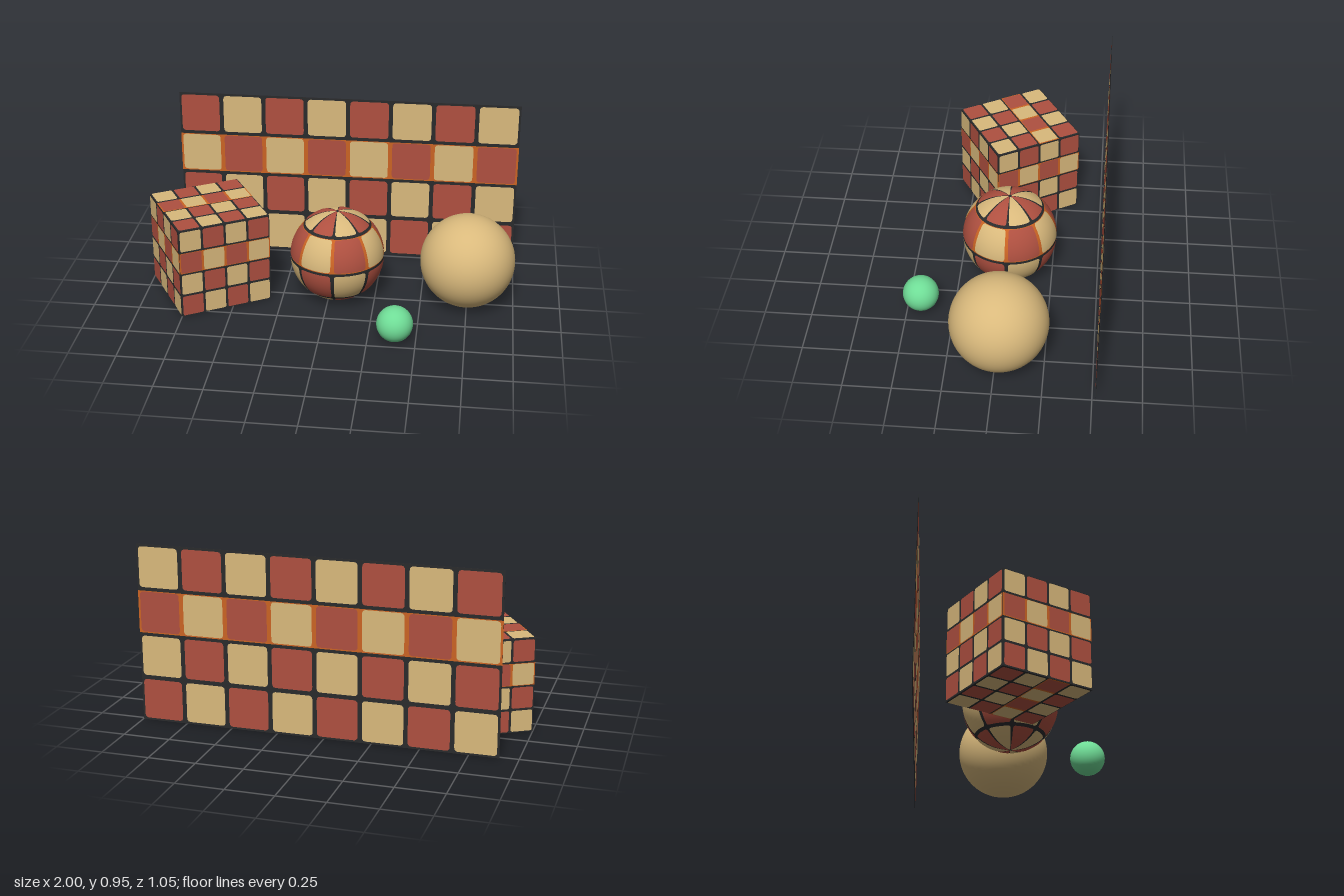
import * as THREE from 'three';
import { mergeGeometries } from 'three/addons/utils/BufferGeometryUtils.js';

export function createModel() {
  const mat = (name, color, side = THREE.FrontSide) => {
    const m = new THREE.MeshStandardMaterial({ color, side });
    m.name = name;
    return m;
  };
  const tan = mat('tan', 0xd9b97c);
  const red = mat('brick red', 0xaf5040);
  const grout = mat('dark grout', 0x2a2b2c);
  const orange = mat('orange grout', 0xcb6424);
  const green = mat('green', 0x6fdc96);

  const model = new THREE.Group();
  const add = (parent, name, geometry, material, x = 0, y = 0, z = 0) => {
    const mesh = new THREE.Mesh(geometry, material);
    mesh.name = name;
    mesh.position.set(x, y, z);
    parent.add(mesh);
    return mesh;
  };

  // Rectangle in uv space with rounded corners, bent onto a surface by map(u, v, lift)
  const patch = (map, u0, v0, u1, v1, nu, nv, lift, round = 0) => {
    const g = new THREE.PlaneGeometry(1, 1, nu, nv);
    const p = g.attributes.position;
    const point = new THREE.Vector3();
    for (let i = 0; i < p.count; i++) {
      let s = p.getX(i);
      // cluster rows near the ends so that the corners read as round
      const t = round ? Math.sin(p.getY(i) * Math.PI) / 2 : p.getY(i);
      const d = Math.max(0, Math.abs(t) - 0.5 + round);
      const inset = round ? round - Math.sqrt(Math.max(0, round * round - d * d)) : 0;
      s *= 1 - 2 * inset;
      map(point, u0 + (s + 0.5) * (u1 - u0), v0 + (t + 0.5) * (v1 - v0), lift);
      p.setXYZ(i, point.x, point.y, point.z);
    }
    g.computeVertexNormals();
    return g;
  };

  // Checkered tiles in four rows; the second row from the top has orange grout
  const tiled = (parent, name, map, cols, parity = 0) => {
    const rows = 4, margin = 0.048;
    const sets = [[], []];
    for (let j = 0; j < rows; j++) {
      for (let i = 0; i < cols; i++) {
        const top = rows - j;
        sets[(i + j + parity) % 2].push(patch(map,
          (i + margin) / cols, (top - 1 + margin) / rows,
          (i + 1 - margin) / cols, (top - margin) / rows, 12, 14, 0.003, 0.08));
      }
    }
    add(parent, name + 'TanTiles', mergeGeometries(sets[0]), tan);
    add(parent, name + 'RedTiles', mergeGeometries(sets[1]), red);
    add(parent, name + 'OrangeGrout', patch(map, 0, 0.505, 1, 0.742, cols * 10, 10, 0.0015), orange);
  };

  const flat = (w, h, depth) => (p, u, v, lift) =>
    p.set((u - 0.5) * w, (v - 0.5) * h, depth + lift);

  // Back wall, tiled on both sides
  const wall = new THREE.Group();
  wall.name = 'wall';
  wall.position.set(0.045, 0.477, -0.52);
  add(wall, 'wallGrout', new THREE.BoxGeometry(1.9, 0.95, 0.002), grout);
  tiled(wall, 'wallFront', flat(1.9, 0.95, 0.001), 8, 1);
  const wallBack = new THREE.Group();
  wallBack.name = 'wallBack';
  wallBack.rotation.y = Math.PI;
  tiled(wallBack, 'wallBack', flat(1.9, 0.95, 0.001), 8);
  wall.add(wallBack);
  model.add(wall);

  // Tiled cube, turned by thirty degrees
  const size = 0.504;
  const cube = new THREE.Group();
  cube.name = 'cube';
  cube.position.set(-0.655, 0.255, -0.018);
  cube.rotation.y = Math.PI / 6;
  add(cube, 'cubeGrout', new THREE.BoxGeometry(size, size, size), grout);
  const turns = [[0, 0], [0, 1], [0, 2], [0, 3], [-1, 0], [1, 0]];
  turns.forEach(([rx, ry], k) => {
    const face = new THREE.Group();
    face.name = 'cubeFace' + (k + 1);
    face.rotation.set(rx * Math.PI / 2, ry * Math.PI / 2, 0);
    tiled(face, 'cubeFace' + (k + 1), flat(size, size, size / 2), 4);
    cube.add(face);
  });
  model.add(cube);

  // Tiled ball
  const R = 0.25;
  const ball = new THREE.Group();
  ball.name = 'tiledBall';
  ball.position.set(0.043, 0.255, -0.018);
  add(ball, 'ballGrout', new THREE.SphereGeometry(R, 80, 48), grout);
  const round = (p, u, v, lift) => {
    const a = u * Math.PI * 2, b = (1 - v) * Math.PI;
    p.set(-Math.cos(a) * Math.sin(b), Math.cos(b), Math.sin(a) * Math.sin(b)).multiplyScalar(R + lift);
  };
  tiled(ball, 'ball', round, 8);
  model.add(ball);

  // Plain balls
  add(model, 'tanBall', new THREE.SphereGeometry(0.253, 64, 40), tan, 0.745, 0.255, -0.018);
  add(model, 'greenBall', new THREE.SphereGeometry(0.095, 48, 32), green, 0.39, 0.098, 0.427);

  return model;
}
